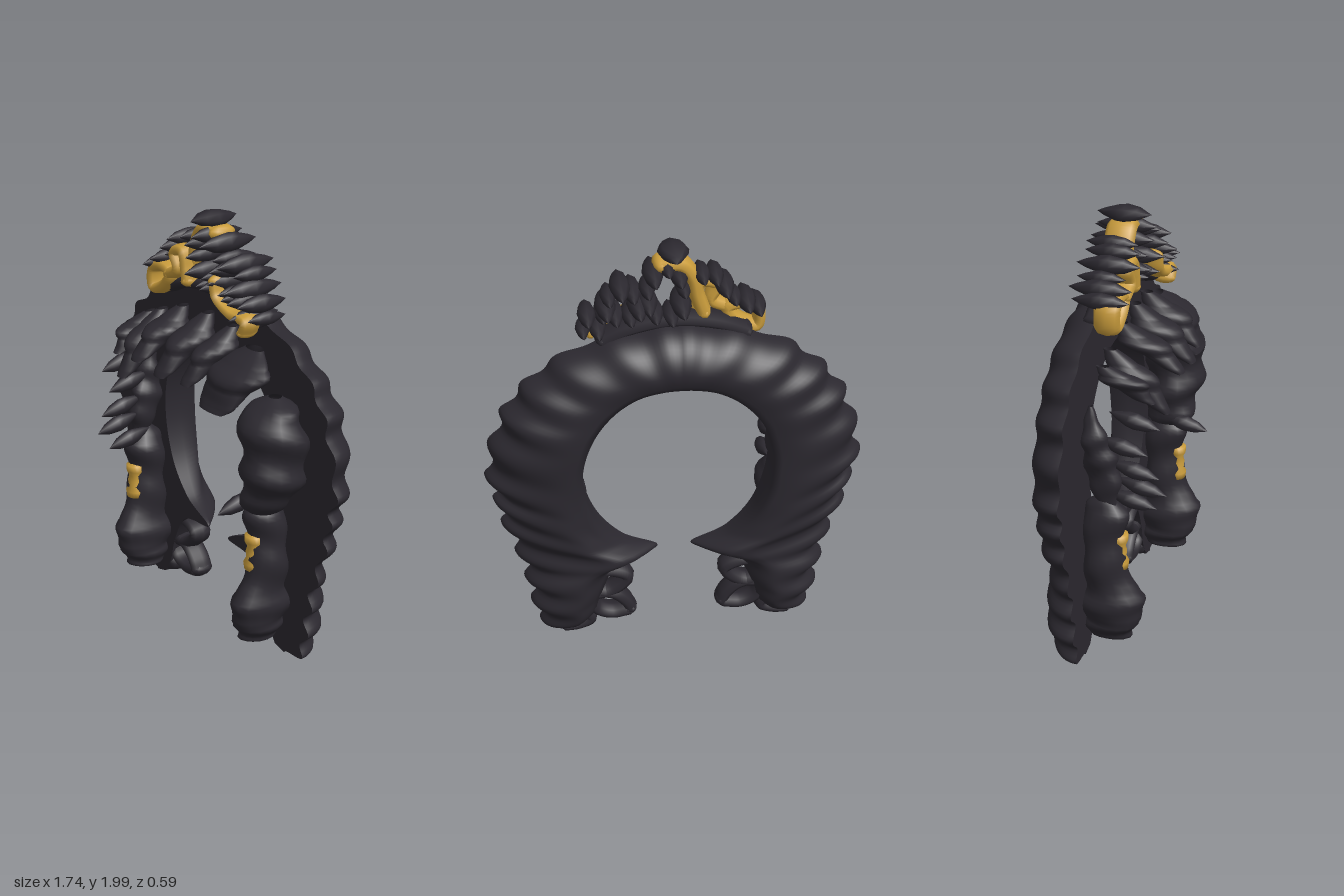
import * as THREE from 'three';
import { mergeVertices } from 'three/addons/utils/BufferGeometryUtils.js';

const hair = new THREE.MeshStandardMaterial({ color: 0x2b282f, side: THREE.DoubleSide });
const gold = new THREE.MeshStandardMaterial({ color: 0xc99c3c, side: THREE.DoubleSide });

// Surface grid from a rule fn(u, v) -> [x, y, z]
function grid(nu, nv, fn) {
  const pos = [], idx = [];
  for (let i = 0; i <= nu; i++) for (let j = 0; j <= nv; j++) pos.push(...fn(i / nu, j / nv));
  for (let i = 0; i < nu; i++) for (let j = 0; j < nv; j++) {
    const a = i * (nv + 1) + j, b = a + nv + 1;
    idx.push(a, a + 1, b, b, a + 1, b + 1);
  }
  let g = new THREE.BufferGeometry();
  g.setAttribute('position', new THREE.Float32BufferAttribute(pos, 3));
  g.setIndex(idx);
  g = mergeVertices(g, 1e-5);
  g.computeVertexNormals();
  return g;
}

const curve = (pts, closed = false) =>
  new THREE.CatmullRomCurve3(pts.map(p => new THREE.Vector3(p[0], p[1], p[2] || 0)), closed);

function add(parent, name, geometry, material) {
  const m = new THREE.Mesh(geometry, material);
  m.name = name;
  parent.add(m);
  return m;
}

// Wavy lock of hair: horizontal rings along points [x, y, z, radiusX, radiusZ]
function lock(parent, name, pts, waves = 0, amp = 0.12) {
  const path = curve(pts), size = curve(pts.map(p => [p[3], p[4], 0]));
  const g = grid(Math.max(24, waves * 8), 16, (u, v) => {
    const p = path.getPoint(u), s = size.getPoint(u), a = v * Math.PI * 2;
    const w = 1 + amp * Math.sin(u * waves * Math.PI * 2 + Math.sin(a) * 1.2)
      + amp * 0.5 * Math.sin(a * 3 + u * 9);
    return [p.x + Math.cos(a) * s.x * w, p.y, p.z + Math.sin(a) * s.y * w];
  });
  return add(parent, name, g, hair);
}

// Tube in the xy plane, stretched in depth, with rounded ends
function bar(parent, name, pts, r, depth, z, mat, closed = false) {
  const m = add(parent, name, new THREE.TubeGeometry(curve(pts, closed), 32, r, 8, closed), mat);
  m.scale.z = depth / r;
  m.position.z = z;
  if (!closed) for (const p of [pts[0], pts[pts.length - 1]]) {
    const e = add(parent, name + 'End', new THREE.SphereGeometry(r, 10, 8), mat);
    e.scale.z = depth / r;
    e.position.set(p[0], p[1], z);
  }
}

// Spindle pointed at its front and back ends
function spindle(parent, name, x, y, z, w, h, d) {
  const profile = [[0, -1], [0.45, -0.7], [0.9, -0.25], [1, 0.05], [0.75, 0.5], [0, 1]];
  const g = new THREE.LatheGeometry(profile.map(p => new THREE.Vector2(...p)), 8).rotateX(Math.PI / 2);
  const m = add(parent, name, g, hair);
  m.scale.set(w, h, d);
  m.position.set(x, y, z);
  return m;
}

// Row of spindles along a curve
function chain(parent, name, pts, n, r, depth, z, closed = false) {
  const path = curve(pts, closed);
  for (let i = 0; i < n; i++) {
    const p = path.getPointAt(i / (closed ? n : n - 1)), k = 1 + 0.15 * Math.sin(i * 2.4);
    spindle(parent, name, p.x, p.y, z + 0.015 * Math.cos(i * 1.7), r * k, r * k, depth * k);
  }
}

// Arch of hair: flat in front, steep inner wall, domed and rippled behind
function arch(parent) {
  // outer x, outer y, inner x, inner y, depth, share of depth kept at the inner wall
  const half = [
    [0.53, 0.01, 0.45, 0.03, 0.07, 0.6], [0.64, 0.06, 0.40, 0.11, 0.16, 0.6], [0.67, 0.2, 0.37, 0.22, 0.19, 0.6],
    [0.70, 0.36, 0.28, 0.38, 0.19, 0.4], [0.74, 0.5, 0.08, 0.42, 0.19, 0.05], [0.79, 0.65, 0.25, 0.51, 0.2, 0.4],
    [0.82, 0.8, 0.38, 0.68, 0.2, 0.75], [0.85, 0.95, 0.43, 0.86, 0.2, 0.85], [0.81, 1.12, 0.43, 1.02, 0.2, 0.85],
    [0.75, 1.27, 0.38, 1.17, 0.2, 0.85], [0.62, 1.42, 0.29, 1.28, 0.2, 0.85], [0.45, 1.53, 0.18, 1.35, 0.2, 0.85],
    [0.23, 1.6, 0.08, 1.375, 0.2, 0.85]];
  const all = [...half, [0, 1.63, 0, 1.38, 0.2, 0.85],
    ...half.slice().reverse().map(p => [-p[0], p[1], -p[2], ...p.slice(3)])];
  const outer = curve(all.map(p => [p[0], p[1], p[4]]));
  const inner = curve(all.map(p => [p[2], p[3], p[5]]));
  const edge = u => {
    const o = outer.getPoint(u), i = inner.getPoint(u), k = Math.abs(u - 0.5) * 2;
    const wave = Math.sin(k * Math.PI * 26 + 0.6 * Math.sin(k * 23));
    const d = o.clone().sub(i).setZ(0).normalize();
    return { i, o: o.clone().addScaledVector(d, wave * (0.008 + 0.018 * Math.min(1, k * 2))), wave, depth: o.z };
  };
  add(parent, 'archFront', grid(260, 1, (u, v) => {
    const { i, o } = edge(u);
    return [i.x + (o.x - i.x) * v, i.y + (o.y - i.y) * v, -0.06];
  }), hair);
  add(parent, 'archBack', grid(260, 20, (u, v) => {
    const { i, o, wave, depth } = edge(u);
    const t = Math.sin(Math.max(0, (v - 0.1) / 0.9) * Math.PI / 2);
    const rise = i.z + (1 - i.z) * Math.sin(Math.min(1, t / 0.4) * Math.PI / 2);
    const swell = 1 + 0.15 * Math.exp(-(((u - 0.33) / 0.05) ** 2));
    const z = depth * swell * Math.sqrt(Math.max(0, 1 - t ** 2.6)) * rise * Math.min(1, v / 0.1) * (1 + 0.03 * wave * t);
    return [i.x + (o.x - i.x) * t, i.y + (o.y - i.y) * t, -0.06 - z];
  }), hair);
}

export function createModel() {
  const model = new THREE.Group();
  model.name = 'crownedHair';
  arch(model);

  for (const s of [1, -1]) {
    const side = new THREE.Group();
    side.name = s > 0 ? 'leftSide' : 'rightSide';
    model.add(side);

    // Long curled lock hanging beside the face
    lock(side, 'sideLock', [[s * 0.49, 0.84, 0.02, 0.01, 0.02], [s * 0.48, 0.74, 0.03, 0.075, 0.1],
      [s * 0.49, 0.55, 0.02, 0.08, 0.09], [s * 0.48, 0.35, 0.05, 0.085, 0.125],
      [s * 0.47, 0.2, 0.05, 0.085, 0.125], [s * 0.46, 0.12, 0.04, 0.065, 0.1],
      [s * 0.45, 0.09, 0.03, 0.004, 0.01]], 6, 0.09);

    // Loose strands at the lower inner edge, leaving small gaps
    const strands = [
      [[0.4, 0.35], [0.3, 0.35], [0.23, 0.31], [0.3, 0.24], [0.4, 0.22]],
      [[0.38, 0.24], [0.29, 0.21], [0.24, 0.16], [0.22, 0.12]],
      [[0.42, 0.2], [0.38, 0.13], [0.31, 0.1], [0.23, 0.11]],
      [[0.45, 0.14], [0.41, 0.08], [0.47, 0.05], [0.53, 0.045]]];
    strands.forEach(p => bar(side, 'looseStrand', p.map(q => [s * q[0], q[1]]), 0.032, 0.06, -0.12, hair));

    // Gold hourglass clip
    const profile = [[0, 0], [0.045, 0.005], [0.05, 0.035], [0.035, 0.06], [0.038, 0.09], [0.03, 0.115], [0.045, 0.14], [0.045, 0.17], [0, 0.18]];
    const clip = add(side, 'clip', new THREE.LatheGeometry(profile.map(p => new THREE.Vector2(...p)), 16), gold);
    clip.position.set(s * 0.48, 0.47, 0.095);
    clip.scale.z = 0.8;
  }

  // Small wisps pointing forward around the face
  for (const [x, y, z] of [[-0.47, 1.19, 0.16], [-0.49, 1.07, 0.11], [-0.48, 0.96, 0.16], [-0.47, 0.88, 0.19],
    [-0.45, 0.8, 0.14], [0.43, 0.79, 0.14]])
    spindle(model, 'wisp', x, y, z, 0.035, 0.04, 0.12).rotation.x = 0.25;

  // Large swept mass on the left side of the head
  lock(model, 'sideMass', [[0.53, 1.3, 0.02, 0.03, 0.03], [0.54, 1.24, 0.05, 0.14, 0.12], [0.55, 1.12, 0.05, 0.15, 0.14],
    [0.55, 0.98, 0.05, 0.145, 0.14], [0.53, 0.87, 0.04, 0.13, 0.13], [0.5, 0.78, 0.05, 0.08, 0.1], [0.49, 0.72, 0.05, 0.02, 0.02]], 4, 0.1);
  lock(model, 'rightTuft', [[-0.5, 1.25, -0.03, 0.01, 0.01], [-0.51, 1.1, -0.01, 0.05, 0.06],
    [-0.49, 0.95, 0.02, 0.05, 0.08], [-0.5, 0.76, 0.05, 0.02, 0.03]], 4, 0.12);

  // Fringe of blunt blades sweeping forward over the forehead: x, width, top, tip, reach
  for (const [x, w, top, tip, reach] of [[-0.43, 0.04, 1.42, 1.26, 0.24], [-0.33, 0.05, 1.46, 1.18, 0.28], [-0.17, 0.06, 1.52, 1.31, 0.3],
    [0.02, 0.065, 1.54, 1.29, 0.3], [0.2, 0.055, 1.53, 1.3, 0.28], [0.35, 0.135, 1.47, 1.22, 0.25]]) {
    const h = top - tip;
    lock(model, 'fringeBlade', [[x * 1.05, top, 0.01, w * 0.4, 0.03], [x * 1.04, top - h * 0.25, 0.07, w, 0.07],
      [x, top - h * 0.6, reach * 0.57, w, 0.07], [x * 0.98, tip + h * 0.12, reach - 0.06, w * 0.9, 0.045],
      [x * 0.97, tip, reach - 0.02, w * 0.6, 0.015]], 1, 0.06);
  }

  // Crown: gold tracery
  const crown = new THREE.Group();
  crown.name = 'crown';
  model.add(crown);
  bar(crown, 'goldLoop', [[-0.375, 1.56], [-0.38, 1.65], [-0.31, 1.68], [-0.24, 1.66], [-0.28, 1.6]], 0.03, 0.06, 0.01, gold, true);
  bar(crown, 'goldScroll', [[-0.24, 1.66], [-0.17, 1.7], [-0.2, 1.77], [-0.13, 1.79], [-0.11, 1.72], [-0.1, 1.66]], 0.03, 0.055, 0.02, gold);
  bar(crown, 'goldStem', [[-0.13, 1.67], [-0.1, 1.76], [-0.08, 1.85], [-0.03, 1.91], [0.06, 1.91]], 0.034, 0.07, -0.03, gold);
  bar(crown, 'goldHook', [[0.36, 1.55], [0.38, 1.6], [0.27, 1.61], [0.17, 1.66], [0.15, 1.73]], 0.026, 0.055, 0.05, gold);

  // Crown: dark tracery of pointed pieces, long in depth
  bar(crown, 'crownBase', [[-0.32, 1.57], [-0.2, 1.62], [0, 1.65], [0.2, 1.62], [0.32, 1.57]], 0.03, 0.08, -0.04, hair);
  chain(crown, 'centreLoop', [[0.03, 1.9], [0.1, 1.86], [0.12, 1.77], [0.09, 1.68], [0.01, 1.67], [-0.04, 1.75], [-0.03, 1.84]], 9, 0.042, 0.14, -0.04, true);
  chain(crown, 'sideLoop', [[0.18, 1.78], [0.23, 1.81], [0.29, 1.77], [0.29, 1.69], [0.22, 1.67], [0.16, 1.7]], 7, 0.042, 0.14, -0.03, true);
  chain(crown, 'endLoop', [[0.31, 1.67], [0.38, 1.67], [0.4, 1.61], [0.34, 1.6]], 4, 0.038, 0.12, -0.01, true);
  chain(crown, 'leftRim', [[-0.37, 1.68], [-0.31, 1.72], [-0.24, 1.76], [-0.2, 1.83], [-0.12, 1.86]], 6, 0.04, 0.13, -0.04);
  spindle(crown, 'topGem', 0, 1.962, -0.03, 0.07, 0.038, 0.125);
  return model;
}
